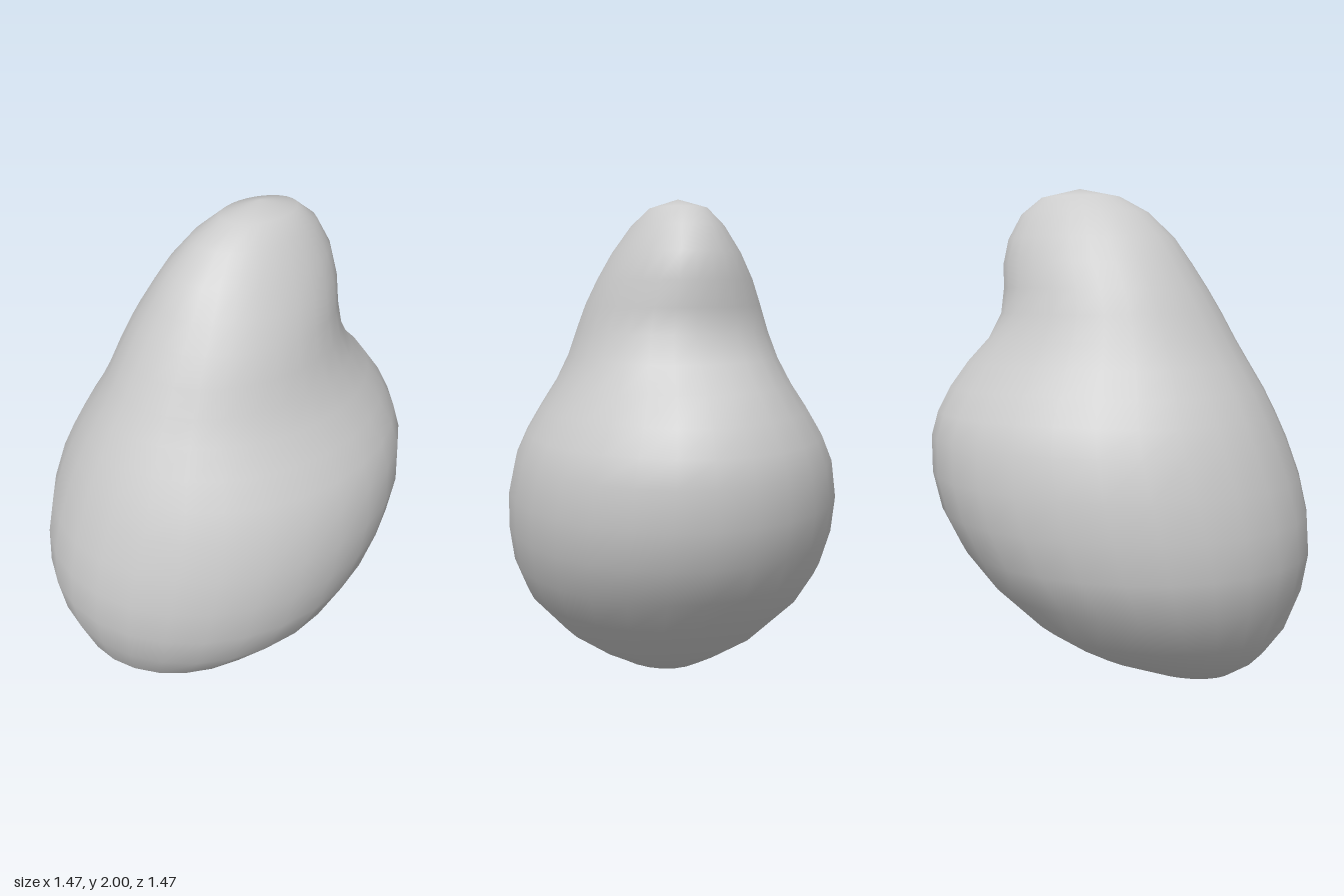
import * as THREE from 'three';

// Horizontal cross-sections: height, rear-slope end, bulge end, half width.
// Lengths run along the diagonal plane of symmetry.
const SECTIONS = [
  [0.02, -0.50, -0.12, 0.13],
  [0.08, -0.59, 0.11, 0.24],
  [0.14, -0.645, 0.21, 0.34],
  [0.23, -0.71, 0.35, 0.45],
  [0.4, -0.775, 0.53, 0.59],
  [0.55, -0.80, 0.66, 0.645],
  [0.7, -0.79, 0.745, 0.665],
  [0.85, -0.755, 0.785, 0.665],
  [1.0, -0.70, 0.79, 0.635],
  [1.1, -0.655, 0.765, 0.59],
  [1.2, -0.605, 0.715, 0.53],
  [1.3, -0.545, 0.645, 0.465],
  [1.4, -0.485, 0.57, 0.415],
  [1.5, -0.43, 0.505, 0.38],
  [1.6, -0.37, 0.48, 0.345],
  [1.7, -0.305, 0.485, 0.30],
  [1.8, -0.235, 0.465, 0.245],
  [1.9, -0.13, 0.41, 0.175],
  [1.965, -0.01, 0.325, 0.11],
];
const SIDES = 28;

function bodyGeometry() {
  const positions = [];
  const index = [];
  const s = Math.SQRT1_2;
  const add = (u, y, w) => positions.push((u + w) * s, y, (w - u) * s);

  // Elliptical rings, with a shallow dent where the neck meets the bulge
  for (const [y, u0, u1, half] of SECTIONS) {
    const dent = 0.04 * Math.exp(-(((y - 1.43) / 0.09) ** 2));
    for (let j = 0; j < SIDES; j++) {
      const a = (j / SIDES) * Math.PI * 2;
      const c = Math.cos(a);
      const u = (u0 + u1) / 2 + ((u1 - u0) / 2) * c - dent * Math.max(0, c) ** 4;
      add(u, y, half * Math.sin(a));
    }
  }
  const bottom = SECTIONS.length * SIDES;
  const top = bottom + 1;
  add(-0.32, 0, 0);
  add(0.16, 2, 0);

  // Skin between rings and the two end caps
  const last = SECTIONS.length - 1;
  for (let j = 0; j < SIDES; j++) {
    const k = (j + 1) % SIDES;
    for (let i = 0; i < last; i++) {
      const a = i * SIDES + j, b = i * SIDES + k;
      index.push(a, a + SIDES, b, b, a + SIDES, b + SIDES);
    }
    index.push(bottom, j, k);
    index.push(last * SIDES + j, top, last * SIDES + k);
  }

  const geometry = new THREE.BufferGeometry();
  geometry.setAttribute('position', new THREE.Float32BufferAttribute(positions, 3));
  geometry.setIndex(index);
  geometry.computeVertexNormals();
  return geometry;
}

export function createModel() {
  const group = new THREE.Group();
  group.name = 'pebble';
  const body = new THREE.Mesh(bodyGeometry(), new THREE.MeshStandardMaterial({ color: 0xcccccc }));
  body.name = 'body';
  group.add(body);
  return group;
}
